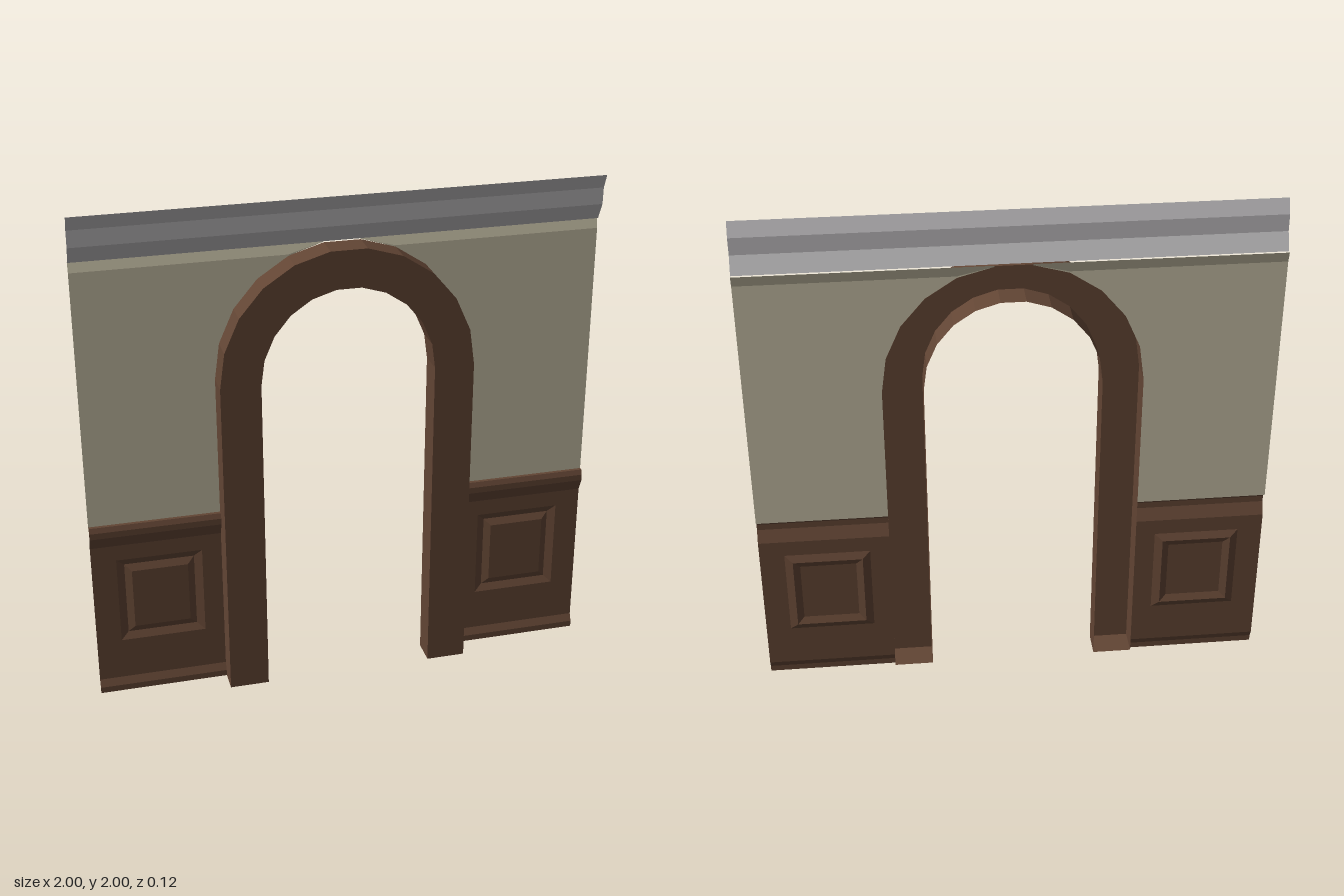
import * as THREE from 'three';

const material = (name, color) => {
  const m = new THREE.MeshStandardMaterial({ color, side: THREE.DoubleSide, flatShading: true });
  m.name = name;
  return m;
};

// Skin a grid of points: rows run from top to bottom, each row from -x to +x.
function loft(rows) {
  const pos = [];
  for (let j = 0; j < rows.length - 1; j++) {
    for (let i = 0; i < rows[j].length - 1; i++) {
      const a = rows[j][i], b = rows[j][i + 1], c = rows[j + 1][i + 1], d = rows[j + 1][i];
      pos.push(...a, ...d, ...c, ...a, ...c, ...b);
    }
  }
  const g = new THREE.BufferGeometry();
  g.setAttribute('position', new THREE.Float32BufferAttribute(pos, 3));
  g.computeVertexNormals();
  return g;
}

// Straight moulding from x0 to x1 with a profile of [y, z] points.
const moulding = (profile, x0, x1) => loft(profile.map(([y, z]) => [[x0, y, z], [x1, y, z]]));

function add(parent, name, geometry, mat) {
  const mesh = new THREE.Mesh(geometry, mat);
  mesh.name = name;
  parent.add(mesh);
  return mesh;
}

const SEGMENTS = 11, SPRING = 1.31, FRONT = 0.06, BACK = -0.045;
const OUTER = [0.49, 0.505], INNER = [0.335, 0.355];

// Points along the arch from the foot at -x, over the top, to the foot at +x.
function archPath([rx, ry], z) {
  const pts = [[-rx, 0, z]];
  for (let i = 0; i <= SEGMENTS; i++) {
    const a = Math.PI * (1 - i / SEGMENTS);
    pts.push([rx * Math.cos(a), SPRING + ry * Math.sin(a), z]);
  }
  pts.push([rx, 0, z]);
  return pts;
}

export function createModel() {
  const wood = material('brown wood', 0x624534);
  const plaster = material('beige plaster', 0xc2bba2);
  const cornicePaint = material('grey paint', 0xb8b6b8);
  const model = new THREE.Group();
  model.name = 'archwayWall';

  // Arch casing, open at the back
  add(model, 'archCasing', loft([
    archPath(OUTER, BACK), archPath(OUTER, FRONT), archPath(INNER, FRONT), archPath(INNER, BACK),
  ]), wood);

  // Cornice along the top
  add(model, 'cornice', moulding(
    [[2, 0.015], [1.945, -0.008], [1.88, -0.01], [1.815, -0.042]], -1, 1), cornicePaint);

  for (const side of [1, -1]) {
    const half = new THREE.Group();
    half.name = side > 0 ? 'leftHalf' : 'rightHalf';
    half.scale.x = side;
    model.add(half);

    // Sole of the casing jamb
    add(half, 'jambFoot', loft([
      [[INNER[0], 0, FRONT], [OUTER[0], 0, FRONT]],
      [[INNER[0], 0, BACK], [OUTER[0], 0, BACK]],
    ]), wood);

    // Plaster cut along the arch, its top edge leaning back
    const top = 1.815, bend = 1.775, wallZ = -0.044, topZ = -0.053;
    const zAt = (y) => wallZ + (topZ - wallZ) * Math.max(0, (y - bend) / (top - bend));
    const lower = archPath(OUTER, 0).slice(7, -1).map(([x, y]) => [x, y]);
    lower.push([OUTER[0], 0.75], [1, 0.75]);
    const cut = lower.map(([x, y]) => [x, y, zAt(y)]);
    const middle = lower.map(([x, y]) => [x, Math.max(y, bend), zAt(y)]);
    const upper = lower.map(([x]) => [x, top, topZ]);
    add(half, 'plasterWall', loft([upper, middle, cut]), plaster);

    // Wainscot rail, base and panel field
    const x0 = OUTER[0], field = -0.044;
    add(half, 'chairRail', moulding(
      [[0.75, -0.044], [0.75, -0.03], [0.73, -0.022], [0.705, -0.022], [0.655, field]], x0, 1), wood);
    add(half, 'baseboard', moulding(
      [[0.055, field], [0.025, -0.03], [0, -0.03]], x0, 1), wood);

    const cx = 0.735, cy = 0.408;
    const rect = (hw, hh, z) => [[-1, 1], [1, 1], [1, -1], [-1, -1], [-1, 1]]
      .map(([sx, sy]) => [cx + sx * hw, cy + sy * hh, z]);
    const border = [[x0, 0.655], [1, 0.655], [1, 0.055], [x0, 0.055], [x0, 0.655]]
      .map(([x, y]) => [x, y, field]);
    add(half, 'wainscotPanel', loft([
      border, rect(0.168, 0.182, field), rect(0.137, 0.153, -0.058), rect(0.11, 0.125, -0.045),
    ]), wood);
    add(half, 'raisedPanelCentre', moulding(
      [[cy + 0.125, -0.045], [cy - 0.125, -0.045]], cx - 0.11, cx + 0.11), wood);
  }
  return model;
}
